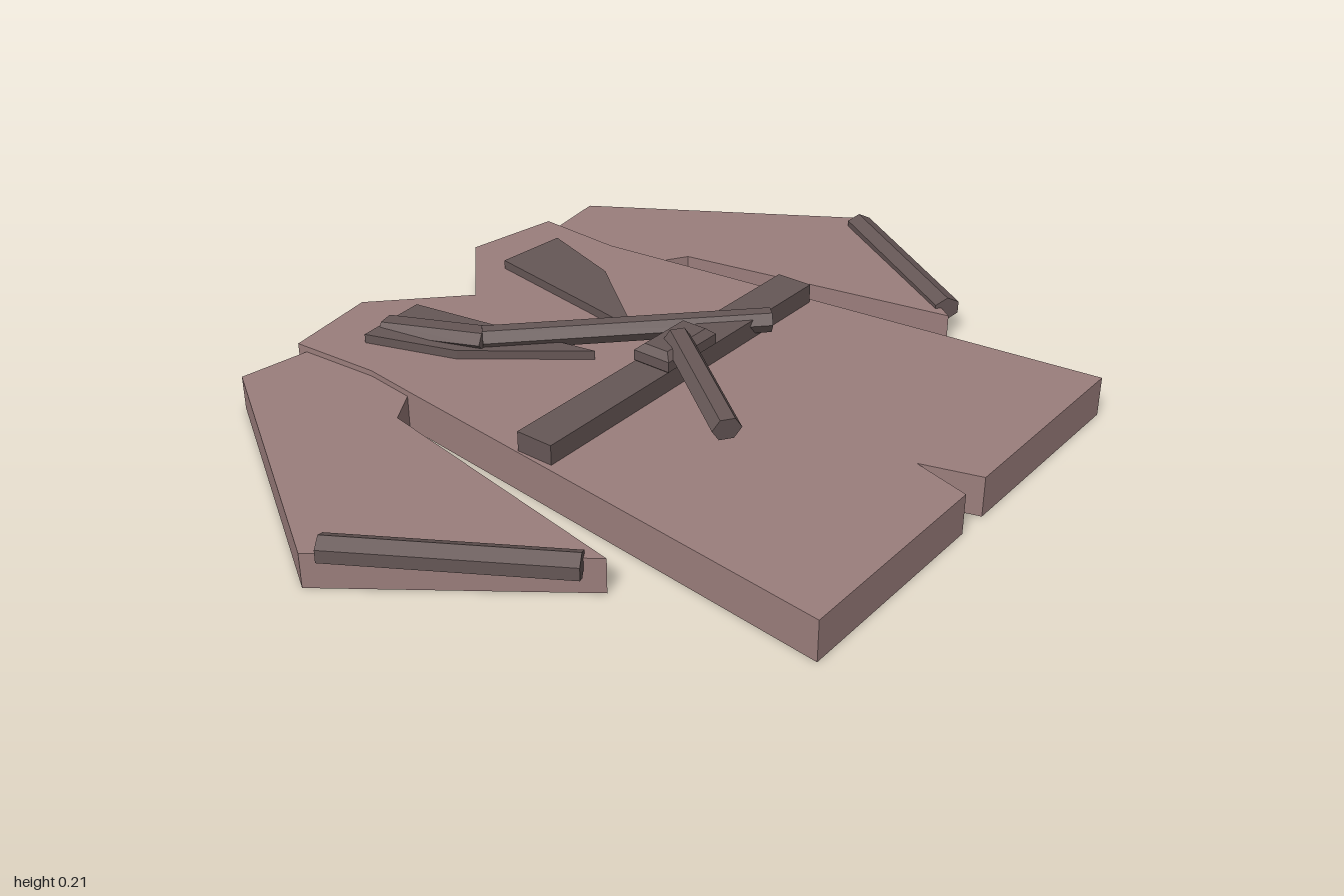
import * as THREE from 'three';

const fabric = new THREE.MeshStandardMaterial({ color: 0x9b7e7c, flatShading: true });
fabric.name = 'mauve cloth';
const trim = new THREE.MeshStandardMaterial({ color: 0x665756, flatShading: true });
trim.name = 'dark trim';

// Flat panel: outline given as [x, z], lying between heights y0 and y1
function panel(name, outline, y0, y1, material, side = 1) {
  const shape = new THREE.Shape(outline.map(([x, z]) => new THREE.Vector2(x * side, -z)));
  const geometry = new THREE.ExtrudeGeometry(shape, { depth: y1 - y0, bevelEnabled: false });
  geometry.rotateX(-Math.PI / 2).translate(0, y0, 0);
  const mesh = new THREE.Mesh(geometry, material);
  mesh.name = name;
  return mesh;
}

// Six-sided rolled strip from a to b; width and height are full sizes
function roll(name, a, b, width, height, flatTop) {
  const start = new THREE.Vector3(...a), end = new THREE.Vector3(...b);
  const dir = end.clone().sub(start);
  const length = dir.length();
  dir.normalize();
  const side = dir.clone().cross(new THREE.Vector3(0, 1, 0)).normalize();
  const up = side.clone().cross(dir);
  const geometry = new THREE.CylinderGeometry(0.5, 0.5, length, 6);
  if (flatTop) geometry.rotateY(Math.PI / 6);
  const c = Math.cos(Math.PI / 6);
  geometry.scale(flatTop ? width : width / c, 1, flatTop ? height / c : height);
  geometry.applyMatrix4(new THREE.Matrix4().makeBasis(side, dir, up));
  const mid = start.add(end).multiplyScalar(0.5);
  geometry.translate(mid.x, mid.y, mid.z);
  const mesh = new THREE.Mesh(geometry, trim);
  mesh.name = name;
  return mesh;
}

export function createModel() {
  const robe = new THREE.Group();
  robe.name = 'robe';

  // Main body with neck notch and hem slit
  const half = [[0.2, -0.8], [0.44, -0.76], [0.425, -0.53], [0.44, -0.4], [0.57, 0.79], [0.04, 0.79]];
  const mirrored = half.map(([x, z]) => [-x, z]).reverse();
  robe.add(panel('body', [[0, -0.61], ...half, [0, 0.65], ...mirrored], 0, 0.096, fabric));

  // Sleeves, cuffs and lapels on both sides
  for (const [label, s] of [['left', 1], ['right', -1]]) {
    robe.add(panel(label + 'Sleeve', [[0.4, -0.73], [0.44, -0.735], [0.61, -0.76], [1, -0.13],
      [0.645, 0.35], [0.52, -0.35], [0.44, -0.4], [0.4, -0.42]], 0, 0.082, fabric, s));
    robe.add(roll(label + 'Cuff', [0.962 * s, 0.082, -0.113], [0.685 * s, 0.076, 0.322], 0.062, 0.06, false));
    robe.add(panel(label + 'Lapel', [[0.155, -0.655], [0.34, -0.64], [0.265, -0.415],
      [0.07, -0.165], [0.1, -0.33]], 0.09, 0.118, trim, s));
  }

  // Belt
  const belt = new THREE.Mesh(new THREE.BoxGeometry(0.95, 0.055, 0.093), trim);
  belt.name = 'belt';
  belt.position.set(0, 0.116, 0.012);
  robe.add(belt);

  // Diagonal sash, bent at the chest
  robe.add(roll('sashShoulder', [-0.265, 0.105, -0.645], [-0.195, 0.13, -0.385], 0.08, 0.045, true));
  robe.add(roll('sashChest', [-0.2, 0.13, -0.395], [0.287, 0.13, 0.075], 0.06, 0.05, true));

  // Bevelled knot
  const knotShape = new THREE.Shape([[-0.07, -0.032], [0.07, -0.032], [0.07, 0.032], [-0.07, 0.032]]
    .map(([x, y]) => new THREE.Vector2(x, y)));
  const knotGeometry = new THREE.ExtrudeGeometry(knotShape, {
    depth: 0.025, bevelThickness: 0.015, bevelSize: 0.017, bevelSegments: 1 });
  const knot = new THREE.Mesh(knotGeometry.rotateX(-Math.PI / 2), trim);
  knot.name = 'knot';
  knot.position.set(0, 0.147, 0.014);
  robe.add(knot);

  // Loose belt end lying over the knot
  robe.add(roll('beltTail', [0, 0.182, 0.018], [-0.19, 0.138, 0.3], 0.068, 0.052, true));

  return robe;
}
